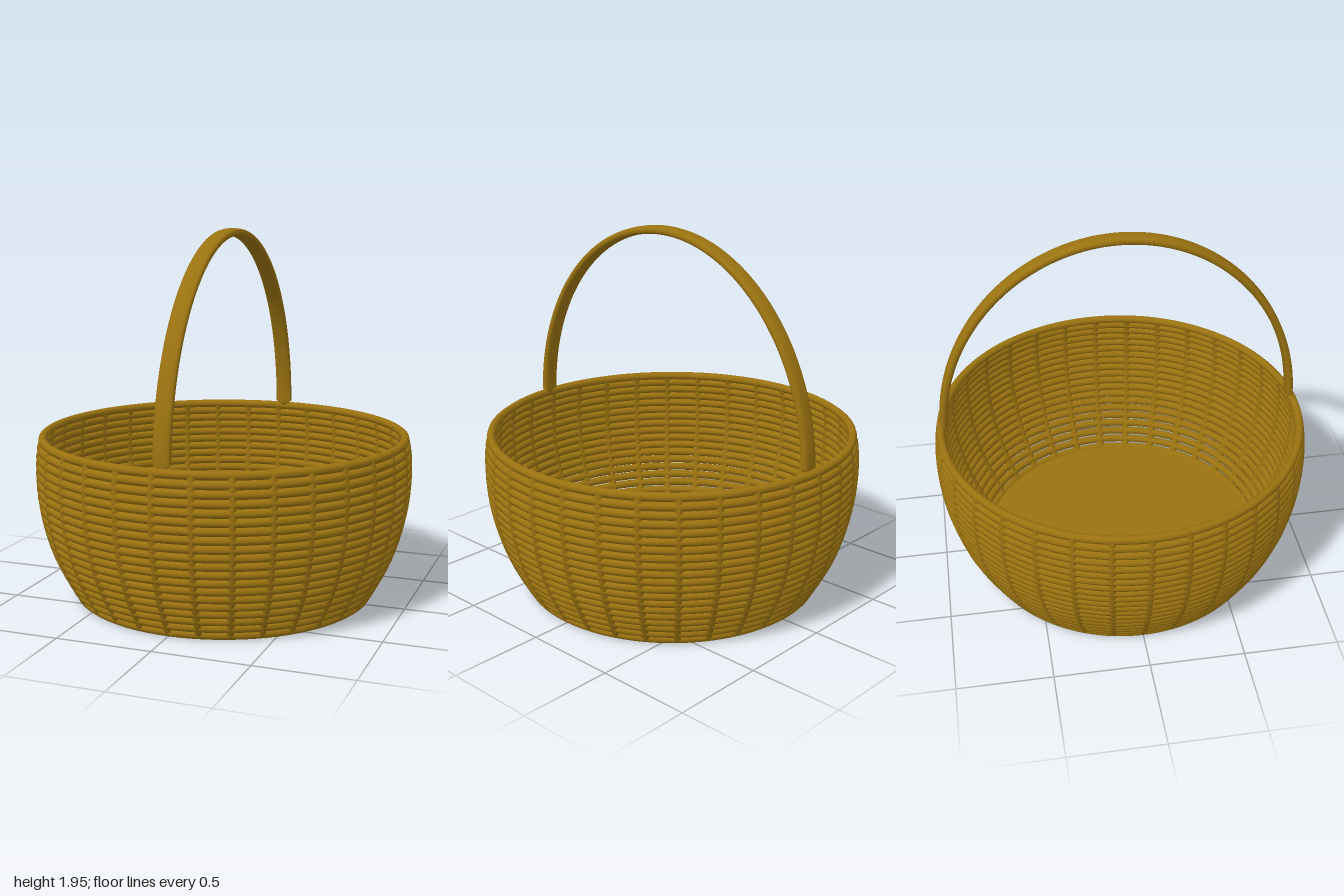
import * as THREE from 'three';
import { ParametricGeometry } from 'three/addons/geometries/ParametricGeometry.js';

const ROWS = 20, STAKES = 32, PITCH = 0.044, CANE = 0.0225;

export function createModel() {
  const basket = new THREE.Group();
  basket.name = 'basket';
  const wicker = new THREE.MeshStandardMaterial({ color: 0x9a7210 });

  const add = (name, geometry, parent = basket) => {
    const mesh = new THREE.Mesh(geometry, wicker);
    mesh.name = name;
    parent.add(mesh);
    return mesh;
  };

  // Centre line of the bulging wall, as (radius, height)
  const wall = new THREE.SplineCurve([
    [0.78, 0.022], [0.83, 0.11], [0.876, 0.2], [0.915, 0.3], [0.943, 0.4],
    [0.963, 0.5], [0.974, 0.6], [0.977, 0.7], [0.972, 0.79], [0.96, 0.858],
  ].map(([r, y]) => new THREE.Vector2(r, y)));
  const profile = wall.getPoints(180);
  const radiusAt = (y) => {
    const i = Math.max(1, profile.findIndex((p) => p.y >= y - 1e-6));
    const a = profile[i - 1], b = profile[i];
    return THREE.MathUtils.mapLinear(y, a.y, b.y, a.x, b.x);
  };

  // Stacked horizontal canes, the last one being the rim
  const weave = new THREE.Group();
  weave.name = 'weave';
  basket.add(weave);
  for (let i = 0; i < ROWS; i++) {
    const y = 0.022 + i * PITCH;
    const rim = i === ROWS - 1;
    const ring = add(rim ? 'rim' : 'weaveRow',
      new THREE.TorusGeometry(radiusAt(y), CANE, 10, 128), weave);
    ring.rotation.x = Math.PI / 2;
    ring.position.y = y;
  }

  // Upright stakes that follow the wall and show between the canes
  const stakes = new THREE.Group();
  stakes.name = 'stakes';
  basket.add(stakes);
  const stakePath = new THREE.CatmullRomCurve3(
    wall.getPoints(18).map((p) => new THREE.Vector3(0, p.y, p.x)));
  const stakeGeometry = new THREE.TubeGeometry(stakePath, 24, CANE, 8);
  for (let i = 0; i < STAKES; i++) {
    add('stake', stakeGeometry, stakes).rotation.y = (i / STAKES) * Math.PI * 2;
  }

  // Floor disc
  add('floor', new THREE.CylinderGeometry(0.79, 0.785, 0.028, 96)).position.y = 0.016;

  // Flat arched handle with a rounded section, closed at both ends
  const soft = (t) => Math.sign(t) * Math.abs(t) ** 0.7;
  const arch = (u, v, target) => {
    const t = v * Math.PI, around = -u * Math.PI * 2;
    const size = v < 1e-6 || v > 1 - 1e-6 ? 0 : 1;
    const across = 0.045 * size * soft(Math.cos(around));
    const thick = 0.021 * size * soft(Math.sin(around));
    const normal = new THREE.Vector2(Math.cos(t) / 0.94, Math.sin(t) / 1.07).normalize();
    target.set(
      0.04 + across,
      0.858 + 1.07 * Math.sin(t) + normal.y * thick,
      0.94 * Math.cos(t) + normal.x * thick,
    );
  };
  const handle = add('handle', new ParametricGeometry(arch, 24, 96));
  handle.material = wicker.clone();
  handle.material.side = THREE.DoubleSide;

  // The winding of the loft must face outwards
  const pos = handle.geometry.attributes.position, nor = handle.geometry.attributes.normal;
  const mid = 48 * 25 + 18;
  if (nor.getY(mid) * (pos.getY(mid) - 1.928) < 0) {
    const index = handle.geometry.index;
    for (let i = 0; i < index.count; i += 3) {
      const a = index.getX(i);
      index.setX(i, index.getX(i + 1));
      index.setX(i + 1, a);
    }
    handle.geometry.computeVertexNormals();
  }
  return basket;
}
